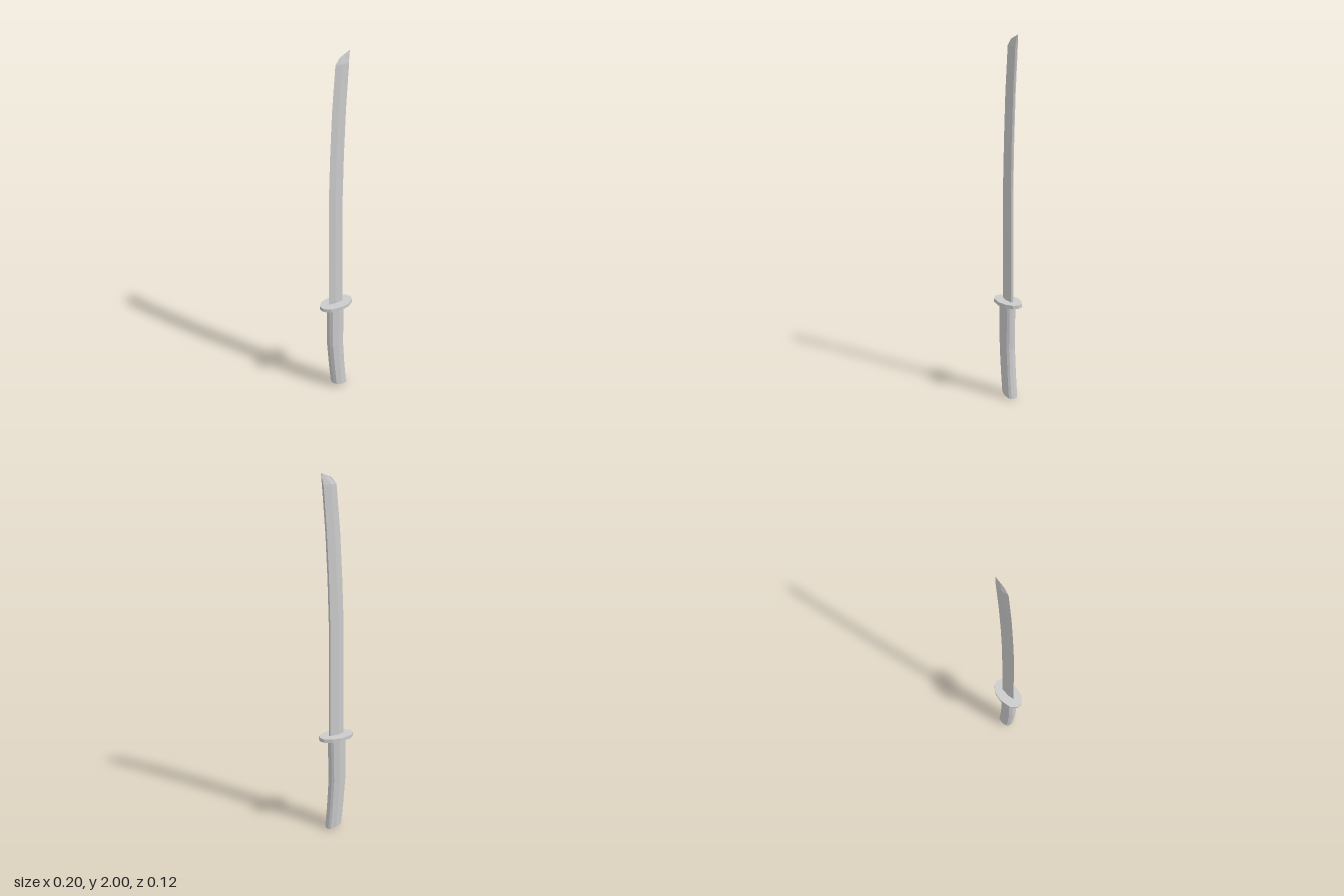
import * as THREE from 'three';

// Joins rings of [x, y, z] points from bottom to top and caps both ends.
// Each ring runs from +x towards +z.
function loft(name, rings) {
  const n = rings[0].length, last = (rings.length - 1) * n, index = [];
  for (let i = 0; i < rings.length - 1; i++) {
    for (let j = 0; j < n; j++) {
      const a = i * n + j, b = i * n + (j + 1) % n;
      index.push(a, a + n, b + n, a, b + n, b);
    }
  }
  for (let k = 1; k < n - 1; k++) {
    index.push(0, k, k + 1, last, last + k + 1, last + k);
  }
  const indexed = new THREE.BufferGeometry();
  indexed.setAttribute('position', new THREE.Float32BufferAttribute(rings.flat(2), 3));
  indexed.setIndex(index);
  const geometry = indexed.toNonIndexed();
  geometry.computeVertexNormals();
  const mesh = new THREE.Mesh(geometry, new THREE.MeshStandardMaterial({ color: 0xcccccc, flatShading: true }));
  mesh.name = name;
  return mesh;
}

// Mirrors a half outline of [x, z] across z = 0; its first point lies on the axis.
function mirrorOutline(half) {
  const back = half.filter(([, z]) => z > 0).reverse().map(([x, z]) => [x, -z]);
  return [...half, ...back];
}

// Blade: sharp edge at -x, a ridge on each face, a shallow peaked spine at +x
function createBlade() {
  const ring = (spine, shoulder, ridge, edge, t) => [
    [...spine, 0], [...shoulder, t], [...ridge, t * 1.1], [...edge, 0], [...ridge, -t * 1.1], [...shoulder, -t],
  ];
  const level = (y, left, right) =>
    ring([right, y], [right - 0.005, y], [left + 0.036, y], [left, y], 0.008);
  return loft('blade', [
    level(0.555, -0.047, 0.043),
    level(1.2, -0.046, 0.043),
    level(1.45, -0.037, 0.05),
    level(1.7, -0.024, 0.062),
    ring([0.08, 1.94], [0.075, 1.94], [0.032, 1.94], [-0.003, 1.94], 0.008),
    ring([0.085, 2], [0.08, 1.998], [0.05, 1.986], [0.025, 1.975], 0.0008),
  ]);
}

// Guard: flat uneven oval plate
function createGuard() {
  const outline = mirrorOutline([
    [0.1, 0], [0.09, 0.029], [0.048, 0.053], [0, 0.061], [-0.067, 0.047], [-0.098, 0.016],
  ]);
  return loft('guard', [0.545, 0.565].map((y) => outline.map(([x, z]) => [x, y, z])));
}

// Handle: faceted oval grip that bends towards +x with a slanted butt
function createHandle() {
  const outline = mirrorOutline([
    [0.049, 0], [0.045, 0.018], [0.034, 0.028], [0, 0.034], [-0.036, 0.028], [-0.049, 0.012],
  ]);
  const ring = (y, centre, scale, tilt) =>
    outline.map(([x, z]) => [centre + x * scale, y - x * tilt, z]);
  return loft('handle', [
    ring(0.012, 0.018, 0.92, 0.24),
    ring(0.14, 0.005, 0.93, 0.12),
    ring(0.29, -0.006, 0.95, 0),
    ring(0.548, -0.004, 1, 0),
  ]);
}

export function createModel() {
  const model = new THREE.Group();
  model.name = 'sword';
  model.add(createBlade(), createGuard(), createHandle());
  return model;
}
